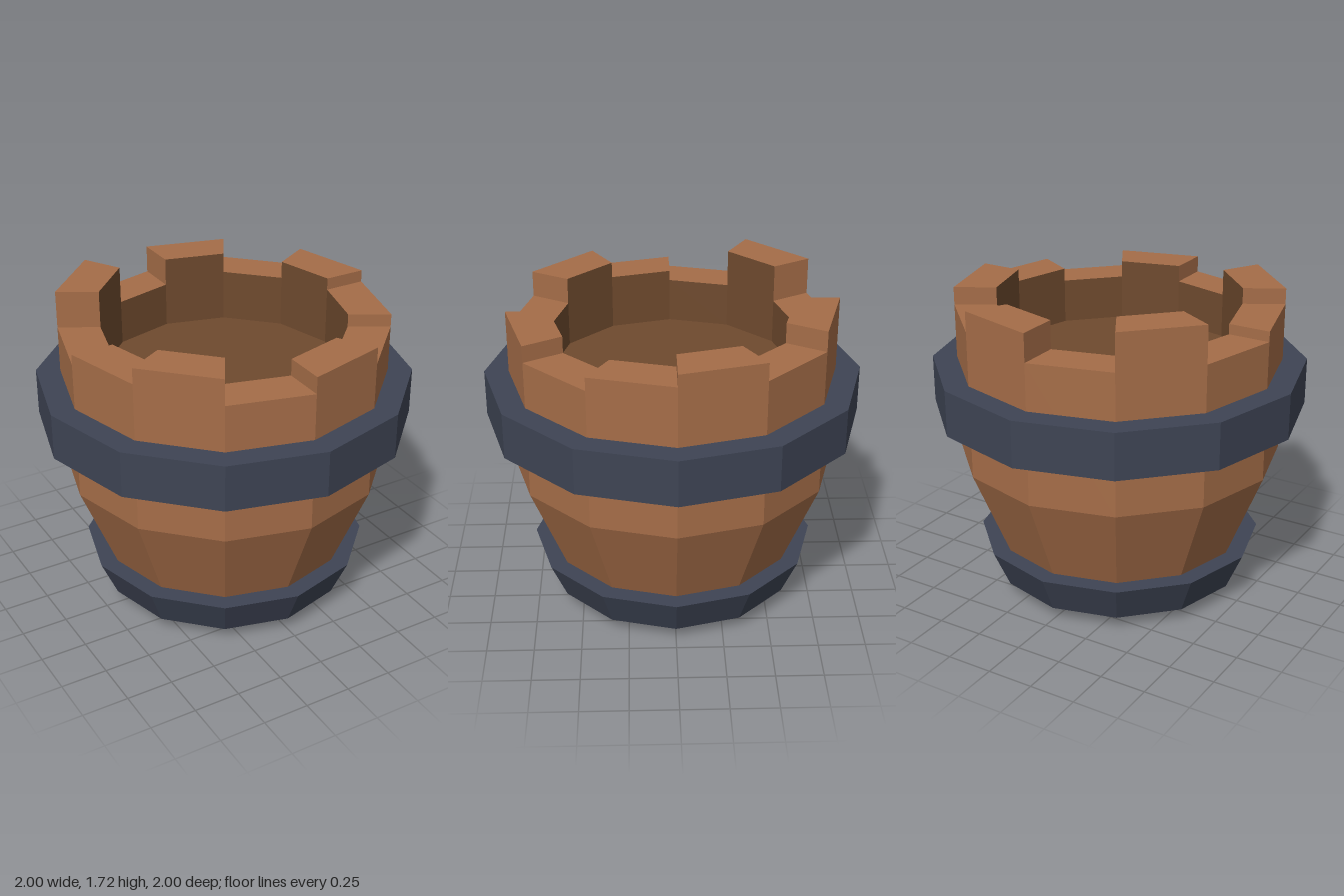
import * as THREE from 'three';

const SIDES = 12;
const STEP = (Math.PI * 2) / SIDES;
const R_OUT = 0.87, R_IN = 0.645, FLOOR = 1.28, HOLE_R = 0.415, HOLE_Y = 0.14;

// Top height of each stave, counted from the front towards +x
const HEIGHTS = [1.61, 1.52, 1.59, 1.655, 1.56, 1.67, 1.52, 1.72, 1.52, 1.575, 1.66, 1.52];

// Faceted sweep of an (r, y) profile around the vertical axis
function sweep(profile, segments = SIDES, start = 0) {
  const points = profile.map(([r, y]) => new THREE.Vector2(r, y));
  const geometry = new THREE.LatheGeometry(points, segments, start, segments * STEP).toNonIndexed();
  geometry.computeVertexNormals();
  return geometry;
}

export function createModel() {
  const model = new THREE.Group();
  model.name = 'barrel';

  const wood = new THREE.MeshStandardMaterial({ color: 0xa56d48 });
  wood.name = 'wood';
  const darkWood = new THREE.MeshStandardMaterial({ color: 0x6f4a2e });
  darkWood.name = 'dark wood';
  const iron = new THREE.MeshStandardMaterial({ color: 0x3e4454 });
  iron.name = 'iron';

  function add(parent, name, geometry, material) {
    const mesh = new THREE.Mesh(geometry, material);
    mesh.name = name;
    parent.add(mesh);
    return mesh;
  }

  // Staves of uneven height, each with an outer shell and a dark inner wall
  const staves = new THREE.Group();
  staves.name = 'staves';
  model.add(staves);
  HEIGHTS.forEach((h, i) => {
    const start = i * STEP;
    add(staves, 'stave', sweep([
      [HOLE_R, HOLE_Y], [HOLE_R, 0], [0.56, 0], [R_OUT, 0.76], [R_OUT, h], [R_IN, h],
    ], 1, start), wood);
    add(staves, 'innerWall', sweep([[R_IN, h], [R_IN, FLOOR]], 1, start), darkWood);

    // Exposed stave side where the next one is higher or lower
    const next = HEIGHTS[(i + 1) % SIDES];
    if (next === h) return;
    const angle = start + STEP;
    const mid = (R_OUT + R_IN) / 2;
    const side = add(staves, 'staveSide',
      new THREE.PlaneGeometry(R_OUT - R_IN, Math.abs(h - next)), wood);
    side.position.set(mid * Math.sin(angle), (h + next) / 2, mid * Math.cos(angle));
    side.rotation.y = angle + (h > next ? 1 : -1) * Math.PI / 2;
  });

  // Boards closing the inside and the recess underneath
  add(model, 'innerFloor', sweep([[R_IN, FLOOR], [0, FLOOR]]), darkWood);
  add(model, 'baseRecess', sweep([[0, HOLE_Y], [HOLE_R, HOLE_Y]]), darkWood);

  // Iron hoops
  add(model, 'upperHoop', sweep([
    [0.86, 1.02], [1, 1.02], [1, 1.27], [0.86, 1.27],
  ]), iron);
  add(model, 'lowerHoop', sweep([
    [0.58, 0.07], [0.68, 0.07], [0.77, 0.275], [0.66, 0.275],
  ]), iron);

  return model;
}
